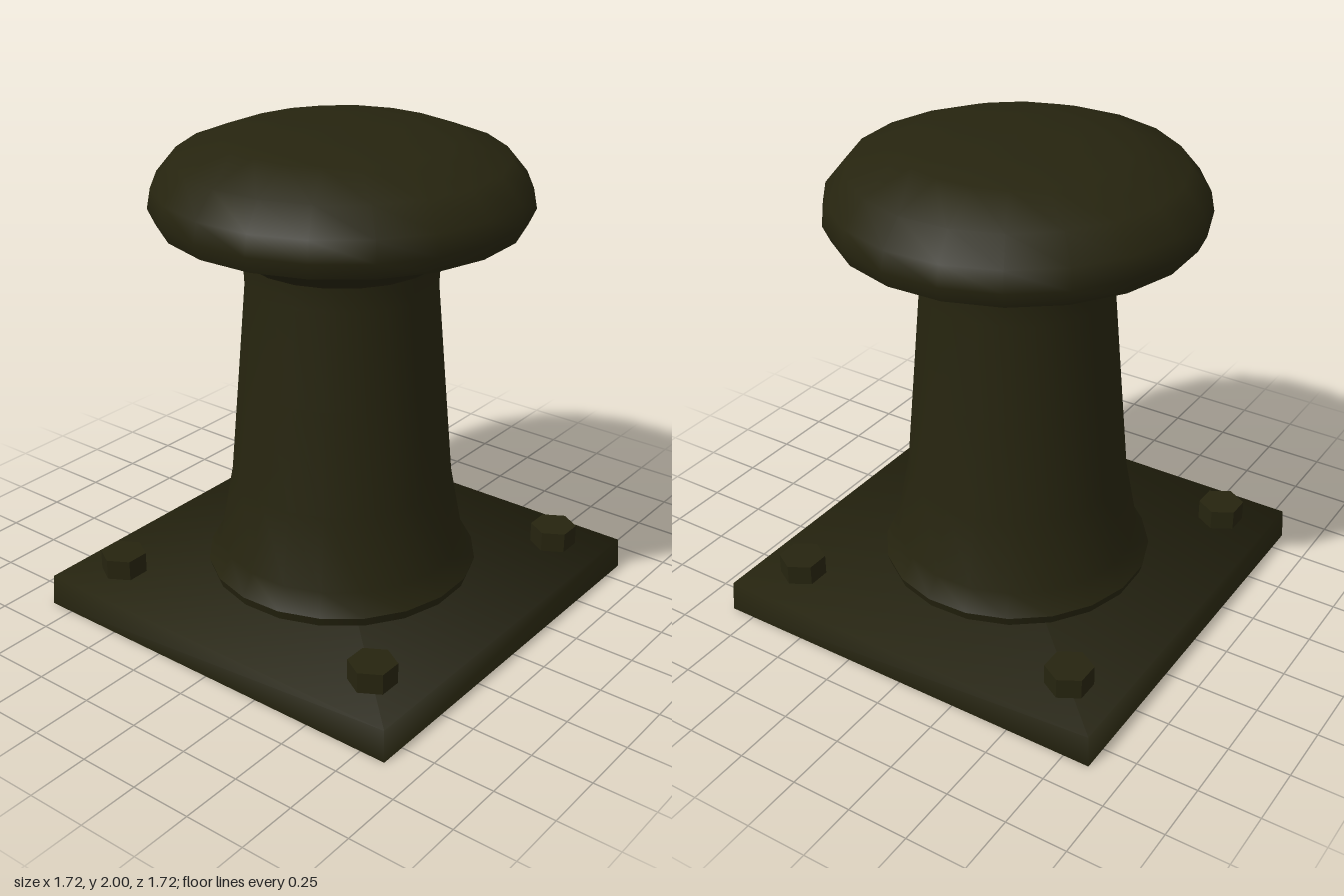
import * as THREE from 'three';

const SIDES = 20;

export function createModel() {
  const group = new THREE.Group();
  const iron = new THREE.MeshStandardMaterial({ color: 0x26240f, side: THREE.DoubleSide });
  iron.name = 'dark olive iron';

  const add = (name, geometry) => {
    const mesh = new THREE.Mesh(geometry, iron);
    mesh.name = name;
    group.add(mesh);
    return mesh;
  };

  // Each turned section is smooth within itself, with a sharp edge to the next
  const turned = (name, profile) => add(name, new THREE.LatheGeometry(
    profile.map(([r, y]) => new THREE.Vector2(r, y)), SIDES, THREE.MathUtils.degToRad(-7)));

  // Base plate: open underneath, slightly tapered, softly shaded corners
  const plate = new THREE.BoxGeometry(2, 0.13, 2).translate(0, 0.065, 0);
  const index = Array.from(plate.index.array);
  index.splice(18, 6); // drop the bottom face
  plate.setIndex(index);
  plate.clearGroups();
  const pos = plate.attributes.position;
  const normal = new THREE.Vector3();
  for (let i = 0; i < pos.count; i++) {
    const top = pos.getY(i) > 0.06;
    const half = top ? 0.85 : 0.858;
    const sx = Math.sign(pos.getX(i)), sz = Math.sign(pos.getZ(i));
    pos.setX(i, sx * half);
    pos.setZ(i, sz * half);
    normal.set(sx, top ? 1 : 0, sz).normalize();
    plate.attributes.normal.setXYZ(i, normal.x, normal.y, normal.z);
  }
  add('basePlate', plate);

  // Post
  turned('postFootRim', [[0.545, 0.14], [0.558, 0.18]]);
  turned('post', [[0.558, 0.18], [0.508, 0.27], [0.452, 0.57], [0.415, 1.0], [0.382, 1.39], [0.387, 1.49]]);

  // Mushroom head
  turned('headUnderside', [[0.387, 1.49], [0.52, 1.58], [0.712, 1.645]]);
  turned('headDome', [[0.712, 1.645], [0.742, 1.71], [0.727, 1.79], [0.645, 1.89],
    [0.445, 1.965], [0.237, 1.994], [0, 2.0]]);

  // Hexagonal bolt heads, points along x
  for (const sx of [-1, 1]) {
    for (const sz of [-1, 1]) {
      const bolt = new THREE.CylinderGeometry(0.095, 0.095, 0.085, 6)
        .rotateY(Math.PI / 2).toNonIndexed();
      bolt.computeVertexNormals();
      add('bolt', bolt).position.set(sx * 0.645, 0.1825, sz * 0.645);
    }
  }

  return group;
}
